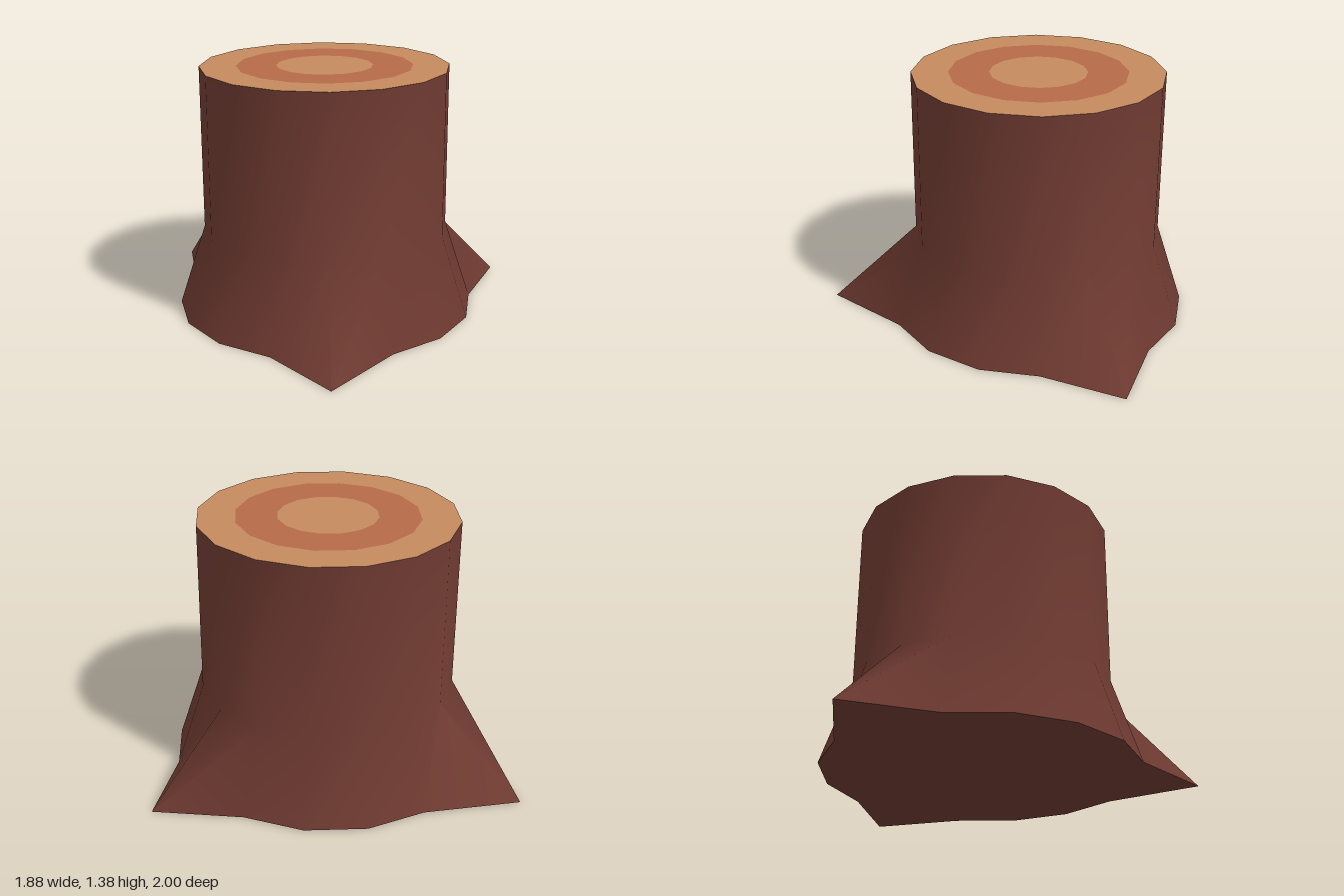
import * as THREE from 'three';
import { toCreasedNormals } from 'three/addons/utils/BufferGeometryUtils.js';

const SIDES = 16, CX = -0.105, CZ = -0.165;
const TRUNK_R = 0.685, BASE_R = 0.835, FLARE_Y = 0.46, TOP_Y = 1.375;

// Root tips: side index -> position on the ground
const rootTips = { 4: [-0.125, 1.0], 10: [-0.94, -0.97], 15: [0.935, -0.595] };

function ring(radius, y, moved = {}) {
  return Array.from({ length: SIDES }, (_, i) => {
    const a = (i / SIDES) * Math.PI * 2;
    const [x, z] = moved[i] ?? [CX + radius * Math.cos(a), CZ + radius * Math.sin(a)];
    return [x, y, z];
  });
}

function fromTriangles(points) {
  const geo = new THREE.BufferGeometry();
  geo.setAttribute('position', new THREE.Float32BufferAttribute(points.flat(), 3));
  geo.computeVertexNormals();
  return geo;
}

export function createModel() {
  const group = new THREE.Group();
  group.name = 'treeStump';

  const mat = (name, color) => {
    const m = new THREE.MeshStandardMaterial({ color });
    m.name = name;
    return m;
  };
  const bark = mat('bark', 0x6e3a31);
  const paleWood = mat('paleWood', 0xc48a5e);
  const darkWood = mat('darkWood', 0xb56b48);

  const add = (name, geo, material) => {
    const mesh = new THREE.Mesh(geo, material);
    mesh.name = name;
    group.add(mesh);
    return mesh;
  };

  // Bark: flared base with three roots, then a straight trunk
  const levels = [ring(BASE_R, 0, rootTips), ring(TRUNK_R, FLARE_Y), ring(TRUNK_R, TOP_Y)];
  const side = [], under = [];
  for (let i = 0; i < SIDES; i++) {
    const j = (i + 1) % SIDES;
    for (let l = 0; l < 2; l++) {
      const lo = levels[l], hi = levels[l + 1];
      side.push(lo[j], lo[i], hi[i], lo[j], hi[i], hi[j]);
    }
    under.push([CX, 0, CZ], levels[0][i], levels[0][j]);
  }
  add('trunkAndRoots', toCreasedNormals(fromTriangles(side), 1.0), bark);
  add('underside', fromTriangles(under), bark);

  // Cut face: concentric growth rings, all flush
  const cuts = [
    ['heartwood', 0, 0.265, paleWood],
    ['growthRing', 0.265, 0.485, darkWood],
    ['outerWood', 0.485, TRUNK_R, paleWood],
  ];
  for (const [name, inner, outer, material] of cuts) {
    const geo = inner
      ? new THREE.RingGeometry(inner, outer, SIDES)
      : new THREE.CircleGeometry(outer, SIDES);
    add(name, geo.rotateX(-Math.PI / 2), material).position.set(CX, TOP_Y, CZ);
  }
  return group;
}
